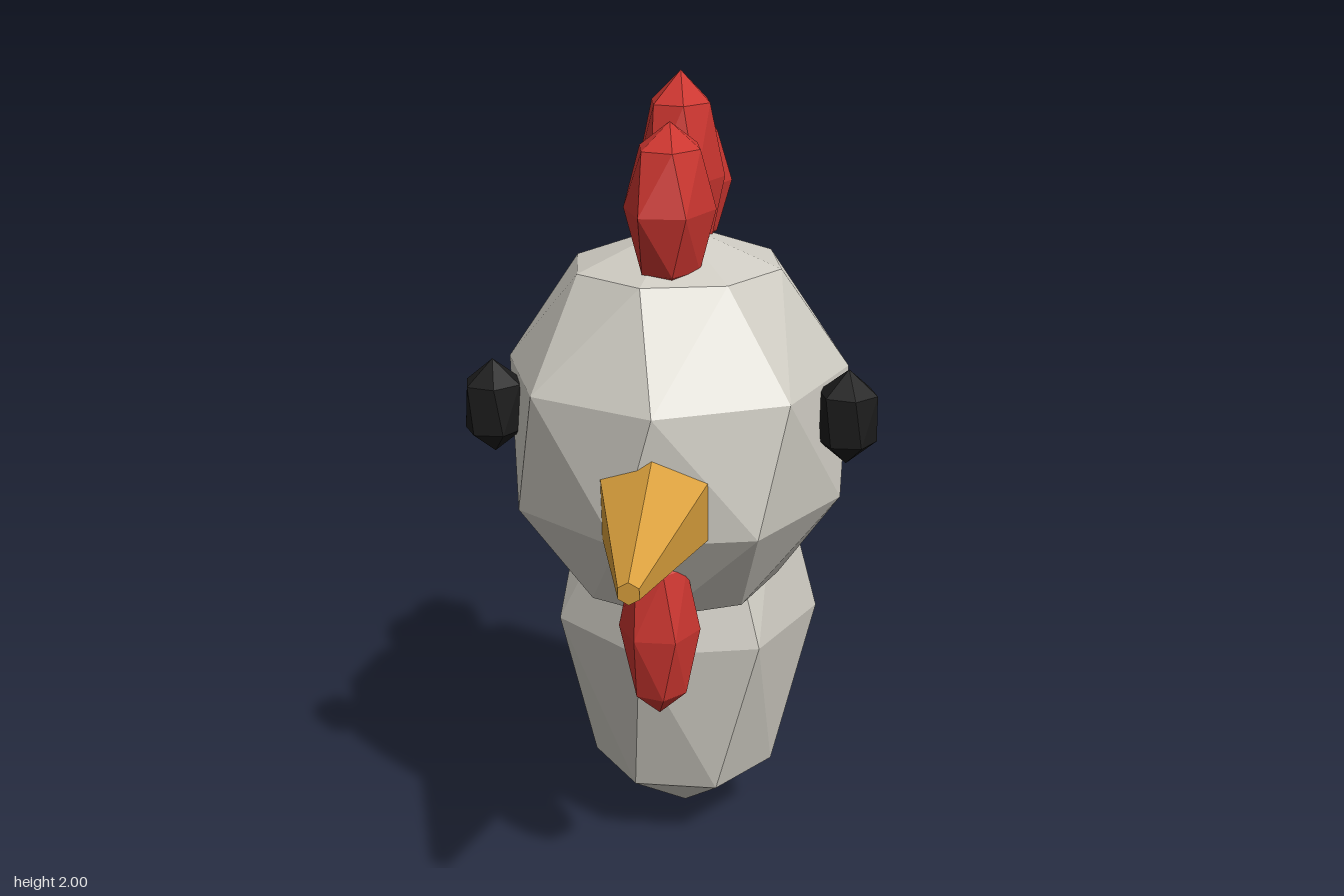
import * as THREE from 'three';
import { ConvexGeometry } from 'three/addons/geometries/ConvexGeometry.js';

// Faceted ellipsoid; every odd ring is turned by a quarter of a segment
function gem(radii, segments, rows) {
  const [rx, ry, rz] = radii;
  const points = [new THREE.Vector3(0, ry, 0), new THREE.Vector3(0, -ry, 0)];
  for (let row = 1; row < rows; row++) {
    const t = (row / rows) * Math.PI;
    for (let i = 0; i < segments; i++) {
      const a = ((i + (row % 2) * 0.25) / segments) * Math.PI * 2;
      points.push(new THREE.Vector3(
        rx * Math.sin(t) * Math.cos(a),
        ry * Math.cos(t),
        rz * Math.sin(t) * Math.sin(a)
      ));
    }
  }
  return new ConvexGeometry(points);
}

function makeMaterial(name, color) {
  const material = new THREE.MeshStandardMaterial({ color, flatShading: true });
  material.name = name;
  return material;
}

export function createModel() {
  const group = new THREE.Group();
  const feathers = makeMaterial('paleGreyFeathers', 0xcfccc3);
  const red = makeMaterial('combRed', 0xcc3630);
  const horn = makeMaterial('beakYellow', 0xd99f3c);
  const black = makeMaterial('eyeBlack', 0x1c1c1c);

  const add = (name, geometry, material, x, y, z) => {
    const mesh = new THREE.Mesh(geometry, material);
    mesh.name = name;
    mesh.position.set(x, y, z);
    group.add(mesh);
    return mesh;
  };

  // Head and neck
  add('head', gem([0.43, 0.48, 0.52], 8, 5), feathers, 0, 1.18, -0.125);
  add('neck', gem([0.345, 0.61, 0.38], 7, 4), feathers, 0, 0.615, -0.34);

  // Comb: three lobes along the crown, [name, height radius, y, z]
  const lobes = [
    ['combFront', 0.19, 1.72, 0.03],
    ['combMiddle', 0.24, 1.76, -0.185],
    ['combBack', 0.17, 1.72, -0.385],
  ];
  for (const [name, ry, y, z] of lobes) {
    add(name, gem([0.105, ry, 0.168], 6, 4), red, 0, y, z);
  }

  // Wattle under the beak
  add('wattle', gem([0.095, 0.22, 0.105], 6, 4), red, 0, 0.787, 0.23);

  // Beak: six-sided taper, tipped slightly down
  const beakGeometry = new THREE.CylinderGeometry(0.025, 0.145, 0.435, 6);
  const beak = add('beak', beakGeometry, horn, 0, 1.095, 0.507);
  beak.rotation.x = Math.PI / 2 + 0.07;

  // Eyes on both sides
  for (const side of [1, -1]) {
    const name = side > 0 ? 'leftEye' : 'rightEye';
    add(name, gem([0.08, 0.112, 0.09], 6, 3), black, side * 0.412, 1.255, 0.052);
  }

  return group;
}
